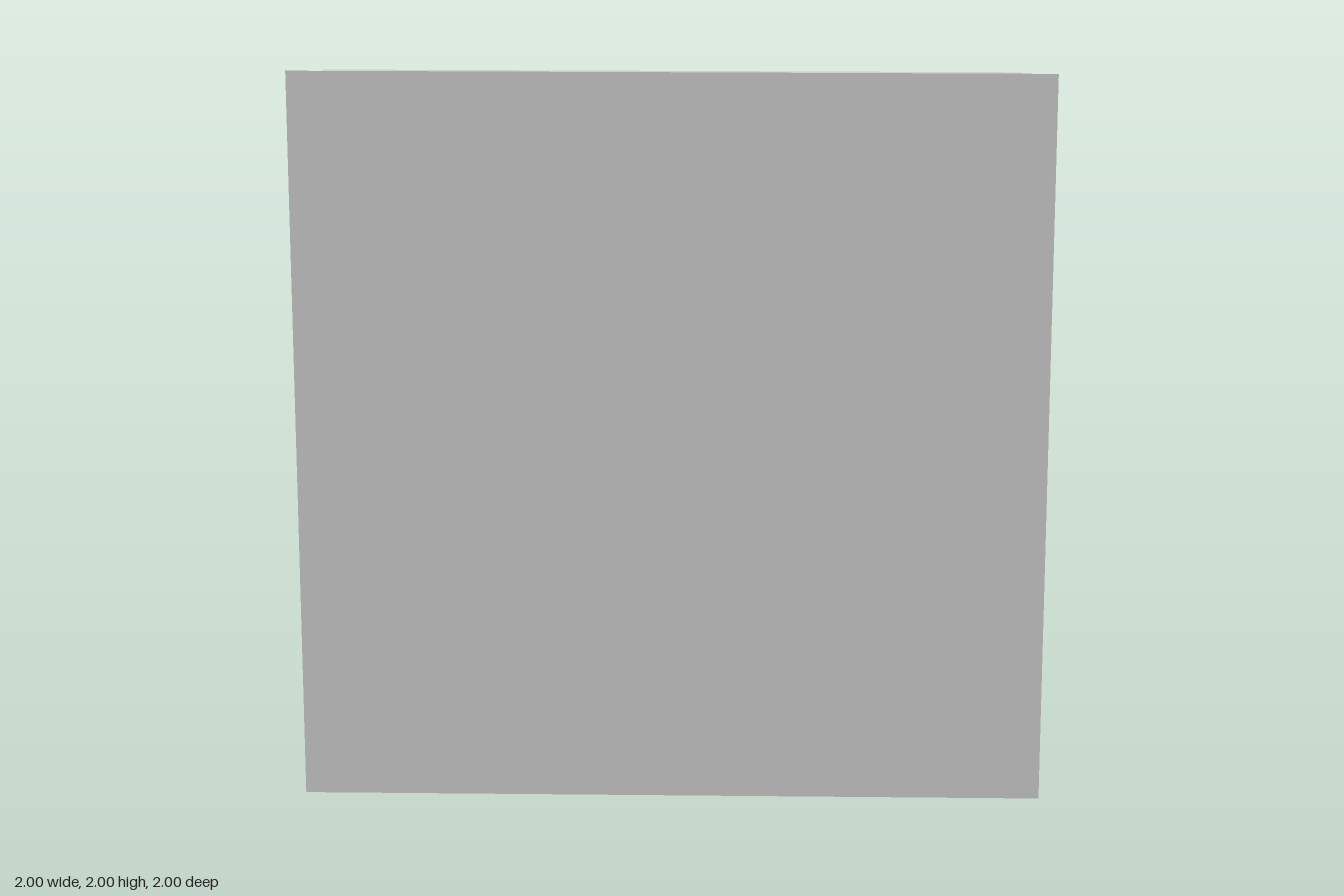
import * as THREE from 'three';

const SIZE = 2;
const FLOOR = 0.03;
const WALL = 0.02;
const SIDE = 0.095;

export function createModel() {
  const group = new THREE.Group();
  group.name = 'cornerBracket';
  const grey = new THREE.MeshStandardMaterial({ color: 0xcccccc });
  grey.name = 'light grey';

  const add = (name, geometry, x, y, z) => {
    const mesh = new THREE.Mesh(geometry, grey);
    mesh.name = name;
    mesh.position.set(x, y, z);
    group.add(mesh);
    return mesh;
  };

  // Thin floor plate across the full footprint
  add('floorPlate', new THREE.BoxGeometry(SIZE, FLOOR, SIZE), 0, FLOOR / 2, 0);

  // Thin upright plate between the two side gussets
  const wallHeight = SIZE - FLOOR;
  add('frontPlate', new THREE.BoxGeometry(SIZE - 2 * SIDE, wallHeight, WALL),
    0, FLOOR + wallHeight / 2, 1 - WALL / 2);

  // Triangular side gussets, drawn in (z, y) and turned to run along x
  const profile = new THREE.Shape([
    new THREE.Vector2(1, FLOOR),
    new THREE.Vector2(1, SIZE),
    new THREE.Vector2(-1 + FLOOR, FLOOR),
  ]);
  const gusset = new THREE.ExtrudeGeometry(profile, { depth: SIDE, bevelEnabled: false });
  gusset.rotateY(-Math.PI / 2);
  add('leftGusset', gusset, 1, 0, 0);
  add('rightGusset', gusset, -1 + SIDE, 0, 0);

  return group;
}
